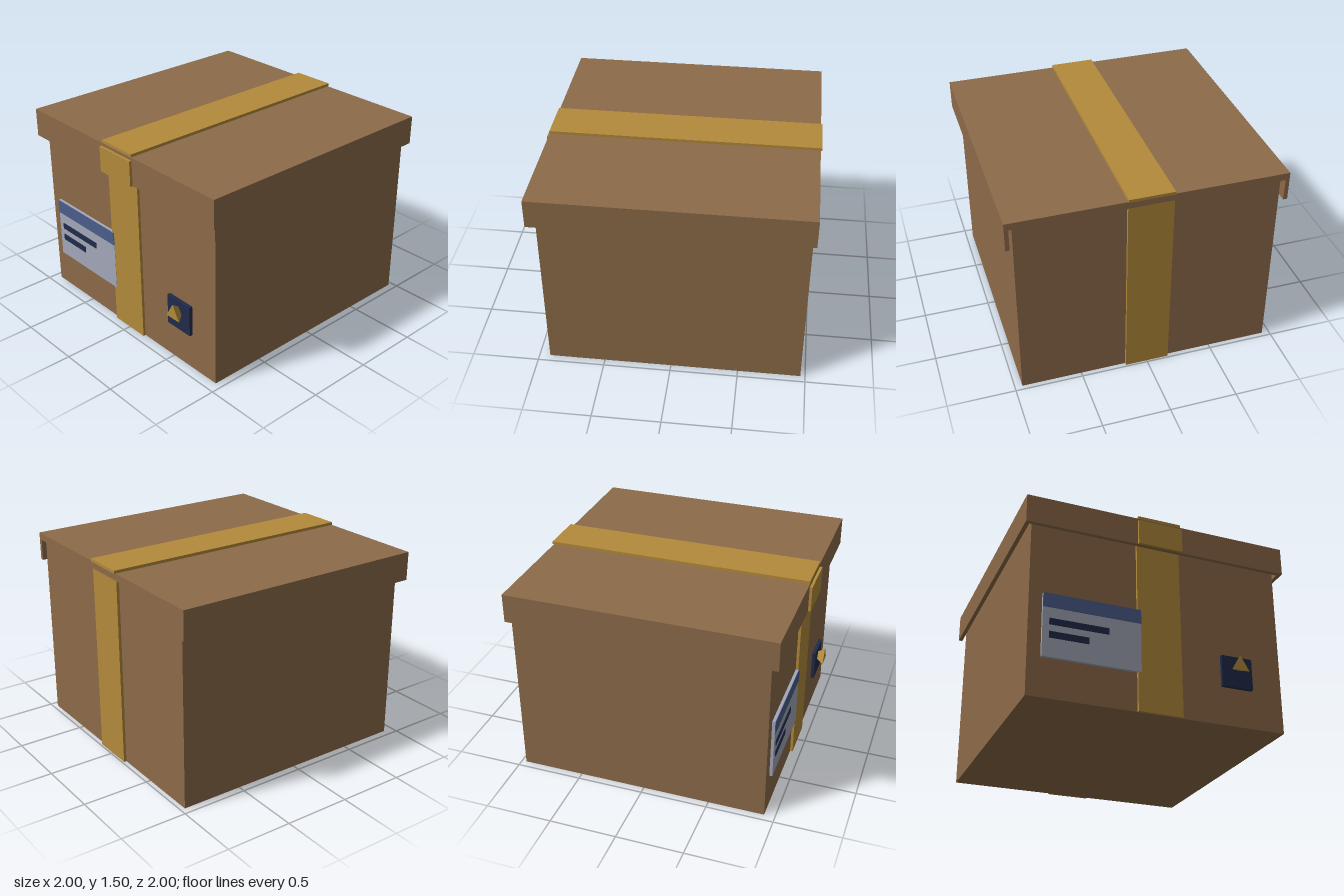
import * as THREE from 'three';

const material = (name, color) => {
  const m = new THREE.MeshStandardMaterial({ color });
  m.name = name;
  return m;
};

export function createModel() {
  const root = new THREE.Group();
  root.name = 'parcelBox';
  const cardboard = material('cardboard', 0x8d6b49);
  const tape = material('packingTape', 0xb38a3b);
  const paper = material('labelPaper', 0xa4a8b8);
  const blue = material('labelBlue', 0x4c5d8c);
  const navy = material('navyInk', 0x202b4a);

  // Box given by its extents along each axis
  const block = (name, mat, [x0, x1], [y0, y1], [z0, z1], parent = root) => {
    const mesh = new THREE.Mesh(new THREE.BoxGeometry(x1 - x0, y1 - y0, z1 - z0), mat);
    mesh.position.set((x0 + x1) / 2, (y0 + y1) / 2, (z0 + z1) / 2);
    mesh.name = name;
    parent.add(mesh);
    return mesh;
  };

  // Carton body
  block('body', cardboard, [-0.945, 0.945], [0, 1.43], [-0.965, 0.92]);

  // Lid: top panel with a rim on the front and both sides, open at the back
  const lid = new THREE.Group();
  lid.name = 'lid';
  root.add(lid);
  block('lidTop', cardboard, [-1, 1], [1.43, 1.483], [-0.99, 0.98], lid);
  block('lidFrontRim', cardboard, [-1, 1], [1.268, 1.43], [0.95, 0.98], lid);
  for (const [name, s] of [['lidLeftRim', 1], ['lidRightRim', -1]]) {
    const xs = s > 0 ? [0.97, 1] : [-1, -0.97];
    block(name, cardboard, xs, [1.268, 1.43], [-0.99, 0.95], lid);
  }

  // Packing tape strips
  block('tapeFront', tape, [-0.165, 0.163], [0, 1.43], [0.92, 0.94]);
  block('tapeBack', tape, [-0.165, 0.163], [0, 1.43], [-0.986, -0.965]);
  block('tapeTop', tape, [-0.165, 0.163], [1.483, 1.505], [-1, 0.98]);
  block('tapeLidTab', tape, [-0.17, 0.168], [1.268, 1.46], [0.98, 1]);

  // Shipping label, overlapping the edge of the tape
  const label = new THREE.Group();
  label.name = 'shippingLabel';
  root.add(label);
  block('labelSheet', paper, [-0.85, -0.14], [0.285, 0.757], [0.92, 0.942], label);
  block('labelHeader', blue, [-0.85, -0.14], [0.652, 0.757], [0.942, 0.946], label);
  block('labelLineLong', navy, [-0.803, -0.375], [0.524, 0.571], [0.942, 0.947], label);
  block('labelLineShort', navy, [-0.803, -0.521], [0.426, 0.474], [0.942, 0.947], label);

  // Square badge with a triangular stud that tapers inward
  block('badge', navy, [0.47, 0.706], [0.285, 0.521], [0.92, 0.946]);
  const studGeometry = new THREE.ConeGeometry(0.077, 0.1, 3).toNonIndexed();
  studGeometry.rotateX(-Math.PI / 2);
  studGeometry.computeVertexNormals();
  const stud = new THREE.Mesh(studGeometry, tape);
  stud.name = 'badgeStud';
  stud.position.set(0.589, 0.438, 0.95);
  root.add(stud);

  return root;
}
